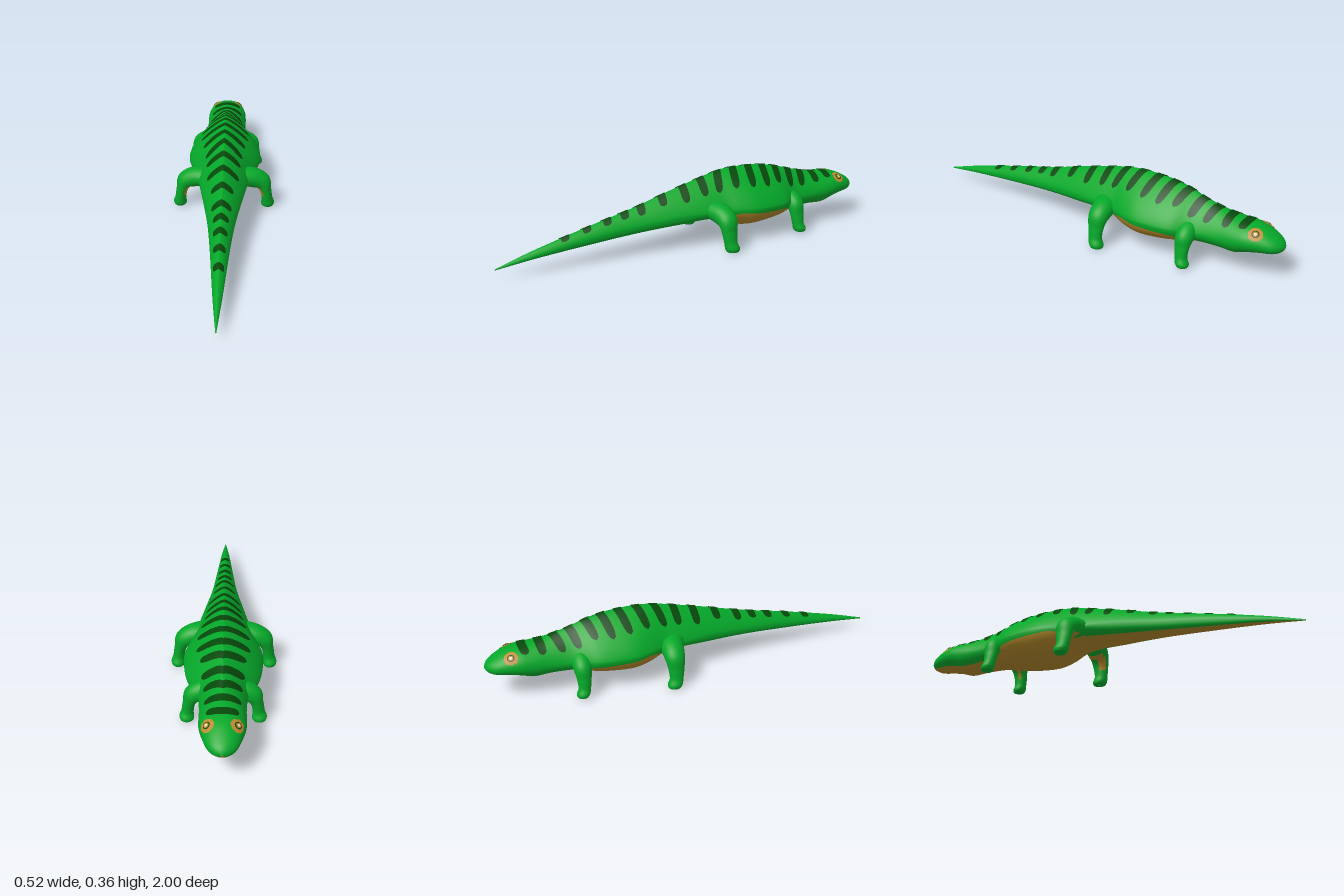
import * as THREE from 'three';

const mat = (name, color, side = THREE.FrontSide) => {
  const m = new THREE.MeshStandardMaterial({ color, side });
  m.name = name;
  return m;
};

// Body stations: z, half width, ridge y, widest y, belly y, angle below widest where the belly colour starts
const STATIONS = [
  [-1, 0.002, 0.168, 0.165, 0.162, 0.9],
  [-0.99, 0.03, 0.186, 0.165, 0.146, 0.9],
  [-0.96, 0.062, 0.209, 0.168, 0.131, 0.9],
  [-0.9, 0.087, 0.238, 0.175, 0.123, 0.9],
  [-0.84, 0.102, 0.252, 0.175, 0.11, 0.9],
  [-0.78, 0.105, 0.258, 0.17, 0.09, 0.85],
  [-0.7, 0.105, 0.272, 0.165, 0.095, 0.85],
  [-0.6, 0.114, 0.3, 0.165, 0.094, 0.7],
  [-0.55, 0.132, 0.316, 0.168, 0.088, 0.5],
  [-0.49, 0.165, 0.333, 0.172, 0.077, 0.3],
  [-0.4, 0.182, 0.35, 0.175, 0.064, 0.22],
  [-0.3, 0.185, 0.357, 0.178, 0.058, 0.18],
  [-0.22, 0.165, 0.357, 0.18, 0.073, 0.15],
  [-0.15, 0.14, 0.348, 0.18, 0.105, 0.4],
  [-0.05, 0.125, 0.325, 0.18, 0.125, 0.85],
  [0.1, 0.098, 0.287, 0.175, 0.122, 0.95],
  [0.3, 0.066, 0.232, 0.155, 0.112, 0.95],
  [0.5, 0.046, 0.187, 0.135, 0.098, 0.95],
  [0.8, 0.022, 0.115, 0.092, 0.075, 0.95],
  [1, 0.002, 0.058, 0.055, 0.052, 0.95],
];

// Smooth interpolation between stations
function station(z) {
  const last = STATIONS.length - 1;
  let i = 0;
  while (i < last - 1 && z > STATIONS[i + 1][0]) i++;
  const at = (k) => STATIONS[Math.min(Math.max(k, 0), last)];
  const slope = (k, c) => (at(k + 1)[c] - at(k - 1)[c]) / (at(k + 1)[0] - at(k - 1)[0]);
  const d = at(i + 1)[0] - at(i)[0], t = (z - at(i)[0]) / d, t2 = t * t, t3 = t2 * t;
  return [1, 2, 3, 4, 5].map((c) =>
    (2 * t3 - 3 * t2 + 1) * at(i)[c] + (t3 - 2 * t2 + t) * d * slope(i, c) +
    (3 * t2 - 2 * t3) * at(i + 1)[c] + (t3 - t2) * d * slope(i + 1, c));
}

// Round head, tent-like back, slightly rounder tail
const roundness = (z) =>
  2 - 0.68 * THREE.MathUtils.smoothstep(z, -0.88, -0.55) + 0.25 * THREE.MathUtils.smoothstep(z, 0, 0.7);

// Point on the skin: angle 0 is the ridge, +-PI/2 the flanks, +-PI the belly (flatter under the tail)
function skin(z, angle) {
  const [w, top, mid, bottom] = station(z);
  const a = Math.abs(angle), s = Math.sign(angle), lower = a > Math.PI / 2;
  const e = 2 / (lower ? 2 + THREE.MathUtils.smoothstep(z, -0.12, 0.1) : roundness(z));
  const x = w * Math.max(Math.sin(a), 0) ** e, h = Math.abs(Math.cos(a)) ** e;
  return new THREE.Vector3(s * x, mid + (lower ? bottom - mid : top - mid) * h, z);
}

function raisedSkin(z, a, lift) {
  const dz = skin(z + 0.005, a).sub(skin(z - 0.005, a));
  const da = skin(z, a + 0.04).sub(skin(z, a - 0.04));
  return skin(z, a).addScaledVector(dz.cross(da).normalize(), lift);
}

// Skin over a grid of points; pick(i, j) chooses the material index of each quad
function loft(rows, wrap, pick = () => 0, flip = false) {
  const n = rows[0].length, faces = [[], []];
  for (let i = 0; i < rows.length - 1; i++) {
    for (let j = 0; j < (wrap ? n : n - 1); j++) {
      const k = (j + 1) % n;
      const a = i * n + j, b = i * n + k, c = a + n, d = b + n;
      faces[pick(i, j)].push(...(flip ? [a, b, c, b, d, c] : [a, c, b, b, c, d]));
    }
  }
  const g = new THREE.BufferGeometry().setFromPoints(rows.flat());
  g.setIndex(faces.flat());
  g.addGroup(0, faces[0].length, 0);
  if (faces[1].length) g.addGroup(faces[0].length, faces[1].length, 1);
  g.computeVertexNormals();
  return g;
}

const range = (n, fn) => Array.from({ length: n }, (_, i) => fn(i));

function bodyGeometry() {
  const BACK = 26, BELLY = 12, HALF = BACK + BELLY;
  const rows = range(121, (i) => {
    const z = -1 + 2 * (i / 120) ** 1.4;
    const split = Math.PI / 2 + station(z)[4];
    const angle = (k) => k <= BACK ? split * k / BACK : split + (Math.PI - split) * (k - BACK) / BELLY;
    return range(2 * HALF, (j) => skin(z, j <= HALF ? angle(j) : -angle(2 * HALF - j)));
  });
  return loft(rows, true, (i, j) => (j >= BACK && j < 2 * HALF - BACK ? 1 : 0));
}

// Chevron band across the ridge with rounded ends
function stripeGeometry(z, halfWidth) {
  const reach = Math.asin(Math.min(halfWidth / station(z)[0], 0.95) ** (roundness(z) / 2));
  const bend = z > -0.72 && z < -0.1 ? 0.035 : 0.008;
  return loft(range(7, (i) => range(33, (j) => {
    const t = j / 16 - 1;
    const half = 0.021 * Math.sqrt(1 - t ** 8);
    return raisedSkin(z - bend * 0.4 + bend * Math.abs(t) + (i / 3 - 1) * half, t * reach, 0.003);
  })), false);
}

// Disc lying on the side of the head
function eyeDisc(side, radius, lift, sides) {
  return loft(range(5, (i) => range(sides, (j) => {
    const r = radius * (i + 0.01) / 4, th = j / sides * Math.PI * 2;
    return raisedSkin(-0.88 + r * Math.cos(th), side * (0.78 + r / 0.08 * Math.sin(th)), lift);
  })), true, undefined, side < 0);
}

// Leg path from hip to foot, with radii along z and across
const LEG = [
  [0.08, 0.185, -0.1, 0.065, 0.045], [0.15, 0.172, -0.115, 0.056, 0.05],
  [0.195, 0.148, -0.12, 0.049, 0.044], [0.214, 0.1, -0.12, 0.04, 0.029],
  [0.222, 0.05, -0.122, 0.034, 0.028], [0.226, 0.02, -0.13, 0.037, 0.034],
  [0.228, 0.004, -0.133, 0.03, 0.028], [0.228, 0.002, -0.133, 0.001, 0.001],
];

function legGeometry(side, front) {
  const path = new THREE.CatmullRomCurve3(LEG.map(([x, y, z]) => front
    ? new THREE.Vector3(x - 0.06, y * 0.92 + 0.008, z - 0.44) : new THREE.Vector3(x, y, z)));
  const size = new THREE.CatmullRomCurve3(LEG.map((p) => new THREE.Vector3(p[3] * (front ? 0.88 : 1), p[4], 0)));
  const RINGS = 42, SIDES = 24;
  const rows = range(RINGS + 1, (i) => {
    const c = path.getPoint(i / RINGS), r = size.getPoint(i / RINGS), t = path.getTangent(i / RINGS);
    const n = new THREE.Vector3(-t.y, t.x, 0).normalize();
    return range(SIDES, (j) => {
      const th = j / SIDES * Math.PI * 2;
      const p = c.clone().addScaledVector(n, r.y * Math.cos(th));
      p.z -= r.x * Math.sin(th);
      p.x *= side;
      return p;
    });
  });
  // Underside of the thigh and a strip on the inner rear of the leg take the belly colour
  const strip = front ? 14 : 16;
  const inner = (i, j) => (i > 4 && i < 11 && j >= 9 && j < 15) || (i >= 11 && i < 21 && j >= 12 && j < strip);
  return loft(rows, true, (i, j) => (inner(i, j) ? 1 : 0), side < 0);
}

export function createModel() {
  const green = mat('skin green', 0x05a82a);
  const tan = mat('belly tan', 0xb0862a, THREE.DoubleSide);
  const amber = mat('eye amber', 0xc08a30, THREE.DoubleSide);
  const dark = mat('stripe dark green', 0x06480a, THREE.DoubleSide);
  const white = mat('eye white', 0xf0ead8, THREE.DoubleSide);

  const model = new THREE.Group();
  model.name = 'lizard';
  const add = (name, geometry, material) => {
    const mesh = new THREE.Mesh(geometry, material);
    mesh.name = name;
    model.add(mesh);
  };

  add('body', bodyGeometry(), [green, tan]);

  // Stripes from neck to tail: z, half width
  [[-0.815, 0.07], [-0.735, 0.08], [-0.655, 0.085], [-0.58, 0.09], [-0.5, 0.1], [-0.42, 0.122],
    [-0.335, 0.122], [-0.245, 0.11], [-0.155, 0.095], [-0.065, 0.085], [0.035, 0.078], [0.15, 0.053],
    [0.265, 0.047], [0.35, 0.036], [0.44, 0.032], [0.545, 0.027], [0.655, 0.023],
  ].forEach(([z, w]) => add('stripe', stripeGeometry(z, w), dark));

  for (const side of [1, -1]) {
    const label = side > 0 ? 'left' : 'right';
    add(label + 'FrontLeg', legGeometry(side, true), [green, tan]);
    add(label + 'HindLeg', legGeometry(side, false), [green, tan]);
    add(label + 'EyePatch', eyeDisc(side, 0.034, 0.003, 8), amber);
    add(label + 'EyeOutline', eyeDisc(side, 0.017, 0.005, 12), dark);
    add(label + 'Eye', eyeDisc(side, 0.012, 0.0065, 12), amber);
    add(label + 'EyeGlint', eyeDisc(side, 0.006, 0.008, 10), white);
  }
  return model;
}
